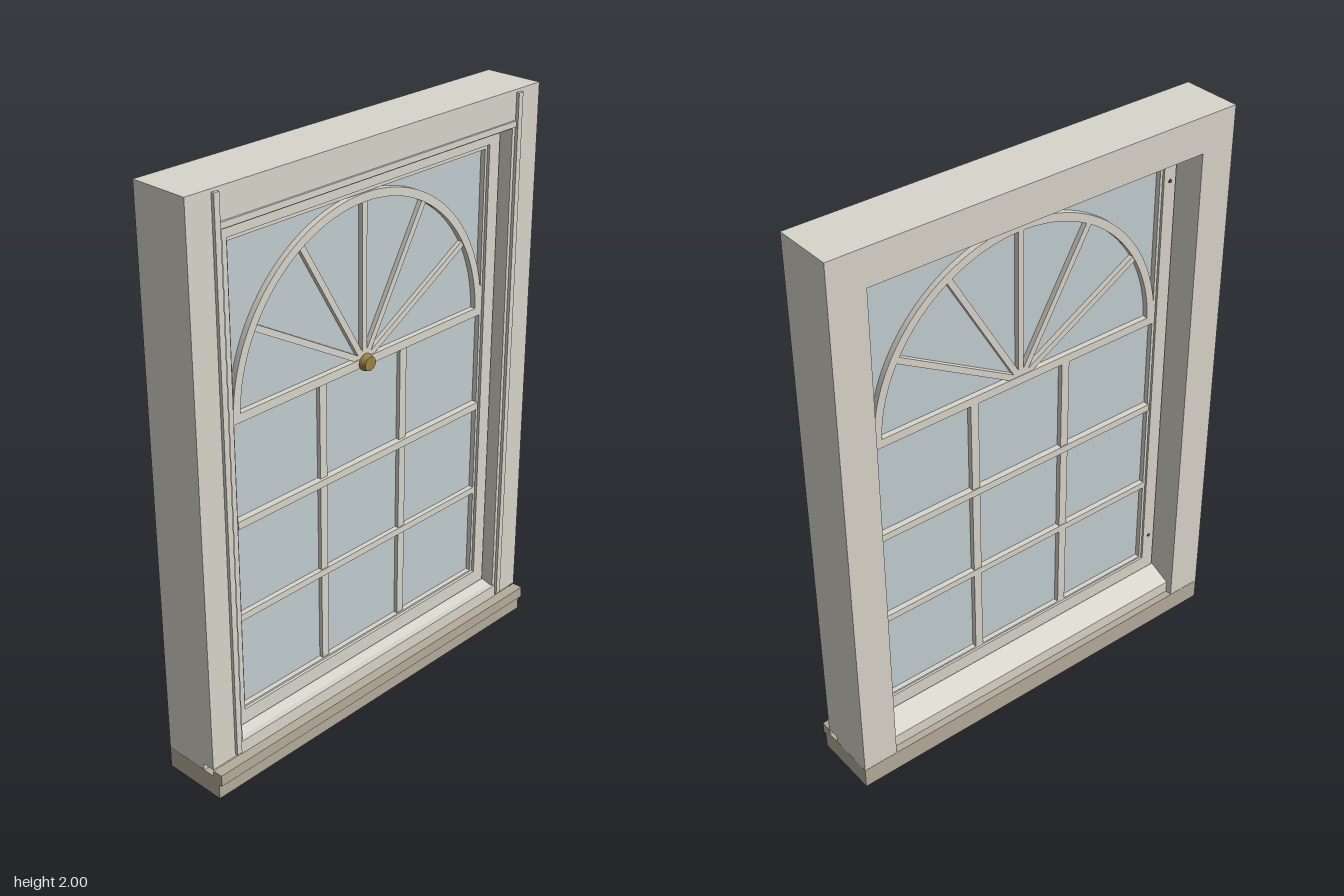
import * as THREE from 'three';

const paint = new THREE.MeshStandardMaterial({ color: 0xd9d5cb });
const stone = new THREE.MeshStandardMaterial({ color: 0xb5ad9c });
const pane = new THREE.MeshStandardMaterial({ color: 0xc2ced2 });
const brass = new THREE.MeshStandardMaterial({ color: 0x9c8246 });
const dark = new THREE.MeshStandardMaterial({ color: 0x55524c });

export function createModel() {
  const model = new THREE.Group();
  model.name = 'sashWindow';

  function add(name, geometry, material = paint, parent = model) {
    const mesh = new THREE.Mesh(geometry, material);
    mesh.name = name;
    parent.add(mesh);
    return mesh;
  }

  // Box given by its limits on each axis
  function box(name, x0, x1, y0, y1, z0, z1, material = paint, parent = model) {
    const mesh = add(name, new THREE.BoxGeometry(x1 - x0, y1 - y0, z1 - z0), material, parent);
    mesh.position.set((x0 + x1) / 2, (y0 + y1) / 2, (z0 + z1) / 2);
    return mesh;
  }

  // Profile of [z, y] points run along x
  function runAlongX(name, points, x0, x1, material = paint) {
    const shape = new THREE.Shape(points.map(([z, y]) => new THREE.Vector2(-z, y)));
    const geometry = new THREE.ExtrudeGeometry(shape, { depth: x1 - x0, bevelEnabled: false });
    geometry.rotateY(Math.PI / 2).translate(x0, 0, 0);
    return add(name, geometry, material);
  }

  // Rectangular ring, like a picture frame
  function ring(name, ox, oy0, oy1, ix, iy0, iy1, z0, z1, parent = model) {
    const rect = (T, x, y0, y1) => new T([[-x, y0], [x, y0], [x, y1], [-x, y1]]
      .map(([a, b]) => new THREE.Vector2(a, b)));
    const shape = rect(THREE.Shape, ox, oy0, oy1);
    shape.holes.push(rect(THREE.Path, ix, iy0, iy1));
    const geometry = new THREE.ExtrudeGeometry(shape, { depth: z1 - z0, bevelEnabled: false });
    return add(name, geometry.translate(0, 0, z0), paint, parent);
  }

  // Sill with a raised nose
  runAlongX('sill', [[-0.125, 0], [0.11, 0], [0.11, 0.056], [0.123, 0.056], [0.123, 0.097],
    [0.085, 0.097], [0.085, 0.075], [-0.125, 0.075]], -0.747, 0.747, stone);

  // Box frame: jambs notched over the sill groove, and the head
  const jamb = [[-0.125, 0.076], [0.04, 0.076], [0.04, 0.1], [0.085, 0.1], [0.085, 2], [-0.125, 2]];
  runAlongX('rightJamb', jamb, -0.747, -0.62);
  runAlongX('leftJamb', jamb, 0.62, 0.747);
  box('head', -0.62, 0.62, 1.875, 2, -0.125, 0.085);
  box('headDrip', -0.63, 0.63, 1.88, 1.9, 0.085, 0.092);

  // Sloping inner board and bottom rail
  runAlongX('bottomRail', [[-0.1, 0.076], [0.04, 0.076], [0.04, 0.1], [0.07, 0.1], [0.07, 0.147],
    [0.04, 0.155], [-0.02, 0.155], [-0.1, 0.12]], -0.62, 0.62);
  box('railCover', -0.63, 0.63, 0.1, 0.147, 0.07, 0.09);

  // Vertical beads on the jamb fronts
  for (const s of [-1, 1]) {
    const bead = box('jambBead', -0.01, 0.01, 0.11, 1.99, 0.08, 0.096);
    bead.position.x = s * 0.643;
  }

  // Sash with a stepped glazing edge
  const sash = new THREE.Group();
  sash.name = 'sash';
  model.add(sash);
  ring('sashFrame', 0.614, 0.16, 1.868, 0.565, 0.214, 1.825, -0.02, 0.04, sash);
  ring('glazingEdge', 0.566, 0.213, 1.826, 0.555, 0.22, 1.81, -0.012, 0.03, sash);
  box('glass', -0.56, 0.56, 0.216, 1.815, 0.006, 0.012, pane, sash);

  // Glazing bars
  for (const x of [-0.183, 0.183]) {
    box('verticalBar', x - 0.015, x + 0.015, 0.216, 1.24, -0.012, 0.026, paint, sash);
  }
  box('lowerBar', -0.558, 0.558, 0.543, 0.567, -0.014, 0.03, paint, sash);
  box('meetingBar', -0.558, 0.558, 0.88, 0.906, -0.016, 0.036, paint, sash);
  box('springBar', -0.558, 0.558, 1.235, 1.265, -0.014, 0.032, paint, sash);

  // Fan light: half-round bar and spokes
  const cy = 1.25;
  const arch = new THREE.Shape();
  arch.absarc(0, 0, 0.558, 0, Math.PI, false);
  arch.absarc(0, 0, 0.53, Math.PI, 0, true);
  const archGeometry = new THREE.ExtrudeGeometry(arch, { depth: 0.046, bevelEnabled: false, curveSegments: 48 });
  add('archBar', archGeometry.translate(0, cy, -0.014), paint, sash);
  for (let i = 1; i <= 5; i++) {
    const a = i * Math.PI / 6;
    const spoke = add('fanSpoke', new THREE.BoxGeometry(0.535, 0.021, 0.04), paint, sash);
    spoke.position.set(Math.cos(a) * 0.2675, cy + Math.sin(a) * 0.2675, 0.008);
    spoke.rotation.z = a;
  }

  // Brass boss at the centre of the fan
  const boss = add('boss', new THREE.CylinderGeometry(0.024, 0.029, 0.022, 32), brass, sash);
  boss.rotation.x = Math.PI / 2;
  boss.position.set(0, cy, 0.043);

  // Screw heads on the back of the stiles
  for (const x of [-0.59, 0.59]) {
    for (const y of [0.31, 1.75]) {
      const screw = add('screwHead', new THREE.CylinderGeometry(0.006, 0.006, 0.004, 12), dark, sash);
      screw.rotation.x = Math.PI / 2;
      screw.position.set(x, y, -0.021);
    }
  }
  return model;
}
